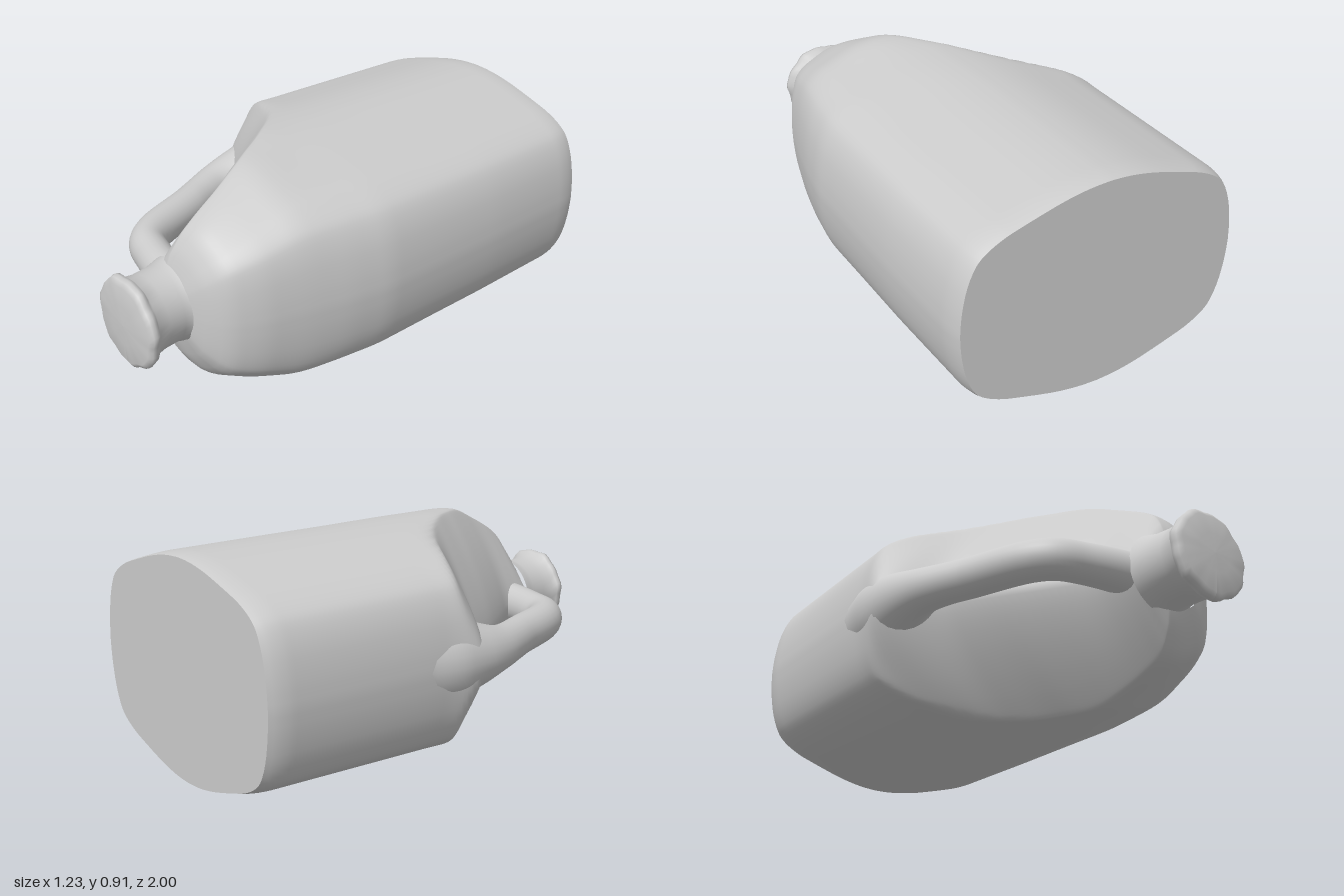
import * as THREE from 'three';

const MID = 0.457; // height of the bottle's long axis
const BACK = -1, SHOULDER = 0.785;
const material = new THREE.MeshStandardMaterial({ color: 0xcccccc });

// Skin a list of closed rings (each a list of Vector3, counter-clockwise about the path)
function loft(rings) {
  const n = rings[0].length;
  const index = [];
  for (let i = 0; i < rings.length - 1; i++) {
    for (let j = 0; j < n; j++) {
      const k = (j + 1) % n;
      const a = i * n + j, b = i * n + k, c = a + n, d = b + n;
      index.push(a, b, d, a, d, c);
    }
  }
  const geometry = new THREE.BufferGeometry().setFromPoints(rings.flat());
  geometry.setIndex(index);
  geometry.computeVertexNormals();
  return geometry;
}

function part(name, geometry) {
  const mesh = new THREE.Mesh(geometry, material);
  mesh.name = name;
  return mesh;
}

// Linear lookup in a [position, value] table
function lookup(table, z) {
  if (z <= table[0][0]) return table[0][1];
  for (let i = 1; i < table.length; i++) {
    const [z0, v0] = table[i - 1], [z1, v1] = table[i];
    if (z <= z1) return v0 + ((v1 - v0) * (z - z0)) / (z1 - z0);
  }
  return table[table.length - 1][1];
}

// Lookup averaged over a short span, which rounds the corners of the outline
function soft(table, z) {
  const span = Math.max(0, Math.min(0.04, z - BACK, SHOULDER - z));
  let sum = 0;
  for (let i = -3; i <= 3; i++) sum += lookup(table, z + (span * i) / 3);
  return sum / 7;
}

// Quarter of the cross-section: bowed side, tight corner, bowed top
const quarter = new THREE.SplineCurve([[1, 0], [0.99, 0.2], [0.957, 0.43], [0.9, 0.61], [0.83, 0.705],
  [0.72, 0.785], [0.6, 0.84], [0.34, 0.94], [0.15, 0.987], [0, 1]].map((p) => new THREE.Vector2(...p)));
const STEPS = 26;
const section = quarter.getPoints(STEPS);

// Outline of the body along z
const halfHeight = [[-1, 0.428], [-0.96, 0.438], [0, 0.455], [0.2, 0.457], [0.36, 0.449], [0.43, 0.437],
  [0.6, 0.36], [0.69, 0.312], [0.73, 0.28], [0.765, 0.22], [0.785, 0.14]];
const rightEdge = [[-1, 0.585], [-0.95, 0.602], [-0.5, 0.613], [0.08, 0.613], [0.25, 0.585], [0.42, 0.545],
  [0.6, 0.497], [0.72, 0.435], [0.765, 0.37], [0.785, 0.3]];
const leftEdge = [[-1, -0.565], [-0.95, -0.585], [-0.2, -0.594], [-0.05, -0.62]];
const axisX = [[-0.2, 0], [0.2, 0.02], [0.42, 0.12], [0.72, 0.23], [0.785, 0.165]];
// Handle recess: its innermost line at mid height and its crease at the top and bottom faces
const recessRidge = [[-0.35, -0.95], [-0.2, -0.7], [-0.05, -0.62], [0.02, -0.48], [0.07, -0.4],
  [0.3, -0.25], [0.58, -0.05], [0.72, 0], [0.785, 0.02]];
const recessCrease = [[-0.35, -0.95], [-0.2, -0.58], [-0.12, -0.38], [-0.02, -0.21], [0.1, -0.1],
  [0.25, 0.01], [0.42, 0.11], [0.55, 0.15], [0.72, 0.18], [0.785, 0.15]];

function bodyRing(z) {
  const h = soft(halfHeight, z), c = soft(axisX, z);
  const right = soft(rightEdge, z) - c, left = c - soft(leftEdge, z);
  const ridge = soft(recessRidge, z), crease = soft(recessCrease, z);
  const ring = [];
  for (let j = 0; j < STEPS * 4; j++) {
    const side = Math.floor(j / STEPS), k = j % STEPS;
    const p = section[side % 2 ? STEPS - k : k];
    const x = side === 0 || side === 3 ? c + p.x * right : c - p.x * left;
    // The recess pushes the left side inward, with a rounded transition
    const limit = ridge + (crease - ridge) * p.y ** 1.4;
    const pushed = (x + limit + Math.hypot(x - limit, 0.03)) / 2;
    ring.push(new THREE.Vector3(pushed, MID + (side < 2 ? p.y : -p.y) * h, z));
  }
  return ring;
}

function createBody() {
  const group = new THREE.Group();
  group.name = 'body';
  const rings = [];
  for (let i = 0; i <= 100; i++) rings.push(bodyRing(BACK + ((SHOULDER - BACK) * i) / 100));
  group.add(part('shell', loft(rings)));
  // Flat base
  const rim = rings[0];
  group.add(part('base', loft([rim.map(() => new THREE.Vector3(0, MID, BACK)), rim])));
  return group;
}

// Handle: the y of each path point stores the grip radius
function createHandle() {
  const path = new THREE.CatmullRomCurve3([
    [-0.42, 0.19, -0.26], [-0.465, 0.165, -0.12], [-0.49, 0.12, 0], [-0.485, 0.092, 0.1], [-0.45, 0.082, 0.2],
    [-0.405, 0.08, 0.3], [-0.308, 0.08, 0.535], [-0.24, 0.08, 0.61], [-0.14, 0.08, 0.645],
    [-0.02, 0.084, 0.672], [0.14, 0.09, 0.69],
  ].map((p) => new THREE.Vector3(...p)));
  const rings = [];
  for (let i = 0; i <= 56; i++) {
    const p = path.getPoint(i / 56), t = path.getTangent(i / 56);
    t.setY(0).normalize();
    const ring = [];
    for (let j = 0; j < 24; j++) {
      const a = (j / 24) * Math.PI * 2;
      const s = Math.cos(a) * p.y * 0.95;
      ring.push(new THREE.Vector3(p.x + t.z * s, MID + 0.003 + Math.sin(a) * p.y, p.z - t.x * s));
    }
    rings.push(ring);
  }
  return part('handle', loft(rings));
}

// Neck with a rough-edged lid, leaning slightly outward
function createNeck() {
  const profile = [[0.165, 0.75], [0.156, 0.78], [0.148, 0.81], [0.147, 0.88], [0.155, 0.935],
    [0.173, 0.95], [0.178, 0.965], [0.174, 0.98], [0.155, 0.992], [0.08, 0.998], [0, 1]];
  const geometry = new THREE.LatheGeometry(profile.map((p) => new THREE.Vector2(...p)), 48);
  geometry.rotateX(Math.PI / 2);
  const pos = geometry.attributes.position;
  for (let i = 0; i < pos.count; i++) {
    const x = pos.getX(i), y = pos.getY(i), z = pos.getZ(i);
    const a = Math.atan2(y, x);
    const rough = z > 0.945 ? 1 + 0.02 * Math.sin(a * 7) + 0.015 * Math.sin(a * 13 + 1) : 1;
    pos.setXYZ(i, 0.155 + x * rough + Math.max(0, z - 0.8) * 0.14, MID + 0.003 + y * rough, z);
  }
  geometry.computeVertexNormals();
  return part('neckAndLid', geometry);
}

export function createModel() {
  const model = new THREE.Group();
  model.name = 'jug';
  model.add(createBody(), createHandle(), createNeck());
  return model;
}
